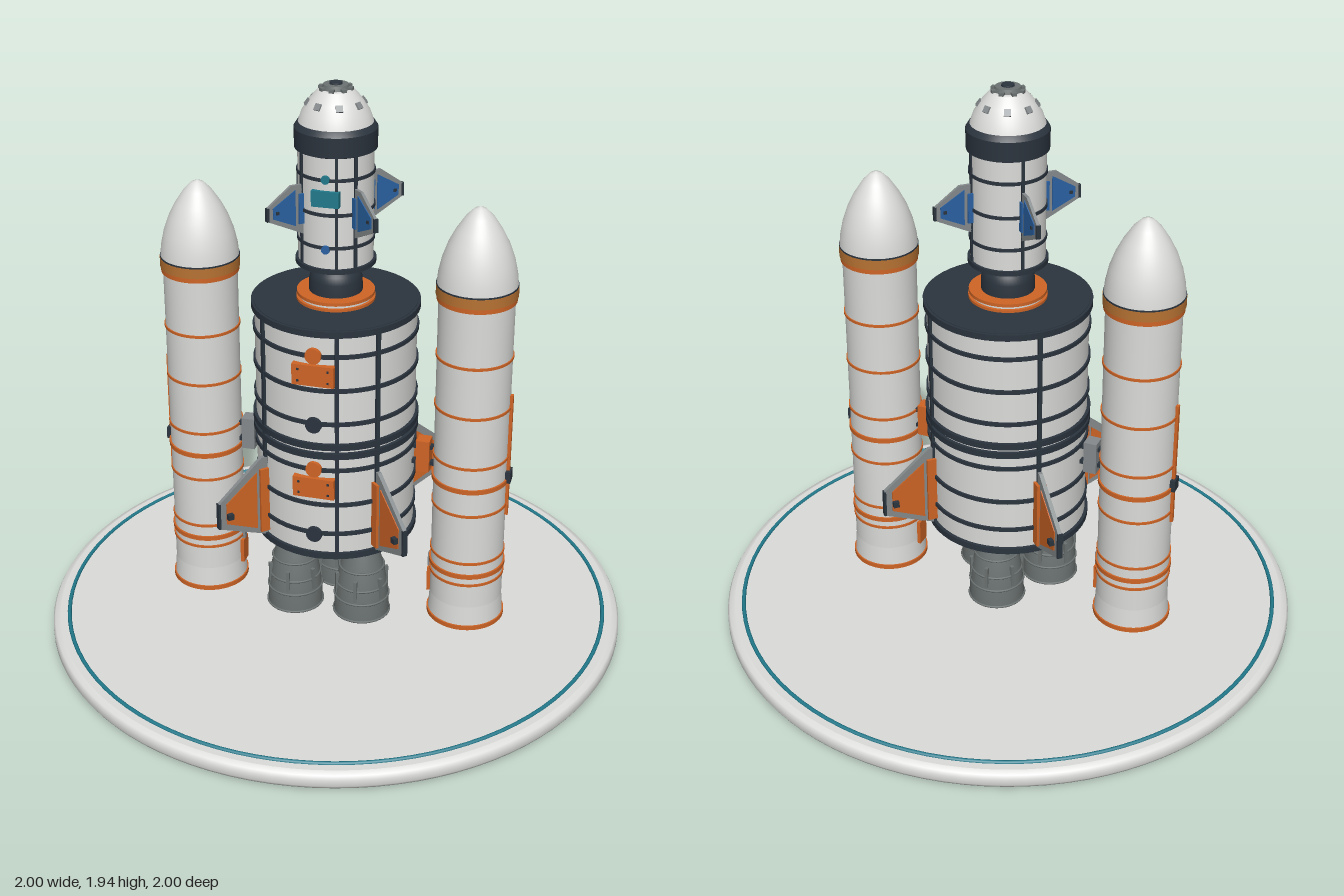
import * as THREE from 'three';

const mat = (name, color, side = THREE.FrontSide) => {
  const m = new THREE.MeshStandardMaterial({ color, side });
  m.name = name;
  return m;
};

export function createModel() {
  const white = mat('white', 0xdcdcda), navy = mat('navy', 0x2b343e), orange = mat('orange', 0xcf6526),
    amber = mat('amber', 0xb87333), steel = mat('steel', 0x6c7372, THREE.DoubleSide),
    frameGrey = mat('frame grey', 0x858a8c), teal = mat('teal', 0x217a8c), blue = mat('blue', 0x2a62a3);
  const D = Math.PI / 180;
  const root = new THREE.Group();
  root.name = 'rocketOnPad';

  const group = (parent, name) => {
    const g = new THREE.Group();
    g.name = name;
    parent.add(g);
    return g;
  };
  const add = (parent, name, geo, m) => {
    const mesh = new THREE.Mesh(geo, m);
    mesh.name = name;
    parent.add(mesh);
    return mesh;
  };
  const cyl = (parent, name, m, rBottom, rTop, y0, y1, seg = 48) => {
    const c = add(parent, name, new THREE.CylinderGeometry(rTop, rBottom, y1 - y0, seg), m);
    c.position.y = (y0 + y1) / 2;
    return c;
  };
  const hoop = (parent, name, m, r, y, h = 0.014) => cyl(parent, name, m, r, r, y - h / 2, y + h / 2);
  const lathe = (parent, name, m, pts, seg = 48) =>
    add(parent, name, new THREE.LatheGeometry(pts.map(p => new THREE.Vector2(...p)), seg), m);
  // Box on a round wall; the angle is measured from the front towards +x
  const wallBox = (parent, name, m, deg, r, y, w, h, d) => {
    const b = add(parent, name, new THREE.BoxGeometry(w, h, d), m);
    b.position.set(Math.sin(deg * D) * r, y, Math.cos(deg * D) * r);
    b.rotation.y = deg * D;
    return b;
  };
  // Round cap facing the front
  const port = (parent, name, m, z, y, r) => {
    const p = add(parent, name, new THREE.CylinderGeometry(r, r, 0.02, 20), m);
    p.rotation.x = Math.PI / 2;
    p.position.set(0, y, z);
  };
  const plate = (parent, name, m, pts, t) => {
    const geo = new THREE.ExtrudeGeometry(new THREE.Shape(pts.map(p => new THREE.Vector2(...p))),
      { depth: t, bevelEnabled: false });
    geo.translate(0, 0, -t / 2);
    return add(parent, name, geo, m);
  };

  // Pad: rounded disc with an inlaid ring
  const pad = group(root, 'pad');
  lathe(pad, 'padDisc', white, [[0, 0], [0.98, 0], [0.98, 0], [0.993, 0.006], [1, 0.018], [1, 0.04],
    [0.993, 0.053], [0.975, 0.06], [0.975, 0.06], [0, 0.06]], 96);
  const padRing = add(pad, 'padRing', new THREE.TorusGeometry(0.943, 0.007, 8, 96), teal);
  padRing.rotation.x = Math.PI / 2;
  padRing.position.y = 0.06;

  // Three engine bells with ribs
  const bell = [[0.096, 0.08], [0.094, 0.14], [0.086, 0.21], [0.072, 0.28], [0.055, 0.34], [0.04, 0.39]];
  for (const [x, z] of [[0.12, 0.1], [-0.12, 0.1], [0, -0.1]]) {
    const e = group(root, 'engine');
    e.position.set(x, 0, z);
    lathe(e, 'bell', steel, bell, 32);
    for (const [r, y] of [[0.097, 0.084], [0.094, 0.15], [0.088, 0.2], [0.077, 0.265]]) {
      const rib = add(e, 'bellRib', new THREE.TorusGeometry(r, 0.004, 6, 32), steel);
      rib.rotation.x = Math.PI / 2;
      rib.position.y = y;
    }
    for (let i = 0; i < 6; i++) wallBox(e, 'bellLug', steel, i * 60, 0.088, 0.2, 0.012, 0.08, 0.012);
  }

  // Core: two stages with hoops, stringers and hatches
  const core = group(root, 'core');
  cyl(core, 'coreTank', white, 0.268, 0.268, 0.38, 1.2, 64);
  for (const y of [0.47, 0.58, 0.71, 0.88, 1.0, 1.12]) hoop(core, 'coreHoop', navy, 0.275, y);
  for (const y of [0.386, 0.765, 0.798, 1.2]) hoop(core, 'stageBand', navy, 0.279, y, 0.022);
  cyl(core, 'coreDeck', navy, 0.27, 0.27, 1.2, 1.213, 64);
  for (const a of [16, 45, 135, 225, 315])
    wallBox(core, 'coreStringer', navy, a, 0.27, 0.79, 0.014, 0.82, 0.014);
  for (const y of [0.645, 1.055]) {
    wallBox(core, 'hatch', orange, 0, 0.27, y, 0.14, 0.072, 0.025);
    for (const sx of [-1, 1]) for (const sy of [-1, 1]) {
      const b = wallBox(core, 'hatchBolt', navy, 0, 0.283, y + sy * 0.02, 0.007, 0.007, 0.004);
      b.position.x = sx * 0.05;
    }
    port(core, 'upperPort', orange, 0.27, y + 0.067, 0.027);
    port(core, 'lowerPort', navy, 0.27, y - 0.18, 0.027);
  }

  // Neck between core and capsule
  const neck = group(root, 'neck');
  cyl(neck, 'neckFlange', orange, 0.13, 0.13, 1.21, 1.222);
  cyl(neck, 'neckPlate', white, 0.12, 0.12, 1.222, 1.232);
  cyl(neck, 'neckRing', orange, 0.128, 0.128, 1.232, 1.243);
  lathe(neck, 'neckDome', navy, [[0.088, 1.24], [0.087, 1.285], [0.08, 1.31], [0.064, 1.33], [0.045, 1.34], [0, 1.342]]);
  cyl(neck, 'neckStem', navy, 0.045, 0.045, 1.335, 1.352);

  // Capsule
  const cap = group(root, 'capsule');
  cyl(cap, 'capsuleBody', white, 0.122, 0.122, 1.345, 1.735);
  for (const y of [1.43, 1.54, 1.655]) hoop(cap, 'capsuleHoop', navy, 0.126, y, 0.011);
  hoop(cap, 'capsuleBase', navy, 0.131, 1.351, 0.016);
  for (const a of [16, 45, 135, 225, 315])
    wallBox(cap, 'capsuleStringer', navy, a, 0.123, 1.54, 0.01, 0.38, 0.01);
  lathe(cap, 'capsuleCollar', navy, [[0.12, 1.725], [0.132, 1.73], [0.132, 1.73], [0.133, 1.795],
    [0.133, 1.795], [0.122, 1.812], [0.115, 1.812]]);
  lathe(cap, 'noseCone', white, [[0.12, 1.81], [0.108, 1.845], [0.086, 1.88], [0.058, 1.912], [0.05, 1.915], [0, 1.915]]);
  for (let i = 0; i < 8; i++) {
    const w = wallBox(cap, 'noseWindow', frameGrey, i * 45 + 22, 0.09, 1.875, 0.022, 0.022, 0.008);
    w.rotation.order = 'YXZ';
    w.rotation.x = -0.65;
    wallBox(cap, 'noseBlock', steel, i * 45, 0.047, 1.913, 0.016, 0.02, 0.016);
  }
  cyl(cap, 'dockingRing', steel, 0.046, 0.04, 1.91, 1.93, 24);
  cyl(cap, 'dockingPort', navy, 0.022, 0.02, 1.925, 1.936, 16);
  wallBox(cap, 'capsuleHatch', teal, 0, 0.122, 1.595, 0.09, 0.052, 0.022);
  port(cap, 'capsulePort', teal, 0.12, 1.658, 0.014);
  port(cap, 'capsulePort', blue, 0.12, 1.425, 0.014);

  // Diagonal fins on core and capsule: frame, coloured inset, root cover and pod
  const fin = (parent, deg, m, outline, inset, t, cover, pod) => {
    const f = group(parent, 'fin');
    f.rotation.y = (deg - 90) * D;
    plate(f, 'finFrame', frameGrey, outline, t);
    plate(f, 'finInset', m, inset, t + 0.006);
    const [tip0, tip1] = [outline[2], outline[1]];
    const edge = add(f, 'finTipEdge', new THREE.BoxGeometry(0.008, tip0[1] - tip1[1], t + 0.004), navy);
    edge.position.set(tip0[0], (tip0[1] + tip1[1]) / 2, 0);
    const c = add(f, 'finRootCover', new THREE.BoxGeometry(cover.w, cover.h, cover.d), cover.m);
    c.position.set(cover.x, cover.y, 0);
    const p = add(f, 'finPod', new THREE.BoxGeometry(pod.s, pod.s, pod.d), navy);
    p.position.set(pod.x, pod.y, 0);
  };
  for (const a of [45, 135, 225, 315]) {
    fin(core, a, orange,
      [[0.26, 0.385], [0.45, 0.46], [0.45, 0.555], [0.29, 0.69], [0.26, 0.69]],
      [[0.31, 0.425], [0.425, 0.475], [0.425, 0.55], [0.31, 0.64]], 0.014,
      { m: orange, x: 0.282, y: 0.53, w: 0.035, h: 0.24, d: 0.034 }, { s: 0.02, d: 0.05, x: 0.415, y: 0.505 });
    fin(cap, a, blue,
      [[0.115, 1.455], [0.247, 1.52], [0.247, 1.565], [0.165, 1.625], [0.115, 1.625]],
      [[0.15, 1.49], [0.23, 1.527], [0.23, 1.562], [0.15, 1.61]], 0.01,
      { m: blue, x: 0.13, y: 1.545, w: 0.018, h: 0.1, d: 0.022 }, { s: 0.01, d: 0.024, x: 0.215, y: 1.545 });
  }

  // Side boosters with rails, hoops and struts
  for (const s of [1, -1]) {
    const b = group(root, s > 0 ? 'leftBooster' : 'rightBooster');
    b.position.x = s * 0.468;
    cyl(b, 'boosterBody', white, 0.124, 0.124, 0.15, 1.29);
    cyl(b, 'boosterSkirt', white, 0.13, 0.124, 0.075, 0.16);
    lathe(b, 'boosterNose', white, [[0.131, 1.31], [0.127, 1.35], [0.116, 1.4], [0.098, 1.45], [0.075, 1.495],
      [0.045, 1.54], [0.02, 1.565], [0, 1.572]]);
    hoop(b, 'noseSeam', navy, 0.1325, 1.313, 0.006);
    cyl(b, 'noseBand', amber, 0.133, 0.133, 1.277, 1.311);
    hoop(b, 'boosterHoop', orange, 0.13, 1.268, 0.016);
    for (const y of [1.065, 0.885, 0.7, 0.52, 0.335, 0.25]) hoop(b, 'boosterHoop', orange, 0.128, y, 0.009);
    for (const y of [0.615, 0.285]) hoop(b, 'boosterHoop', orange, 0.13, y, 0.016);
    hoop(b, 'boosterFoot', orange, 0.134, 0.082, 0.016);
    wallBox(b, 'boosterRail', orange, s * 90, 0.127, 0.705, 0.015, 0.45, 0.014);
    wallBox(b, 'railBox', navy, s * 90, 0.13, 0.63, 0.042, 0.042, 0.02);
    wallBox(b, 'innerCover', orange, -s * 90, 0.127, 0.19, 0.05, 0.09, 0.014);
    wallBox(b, 'innerRail', frameGrey, -s * 90, 0.127, 0.26, 0.02, 0.05, 0.016);
    const strut = group(root, 'strut');
    wallBox(strut, 'strutBox', s > 0 ? orange : frameGrey, s * 90, 0.308, 0.67, 0.05, 0.115, 0.045);
    for (const y of [0.64, 0.7]) wallBox(strut, 'strutBar', navy, s * 90, 0.305, y, 0.022, 0.014, 0.1);
  }
  return root;
}
